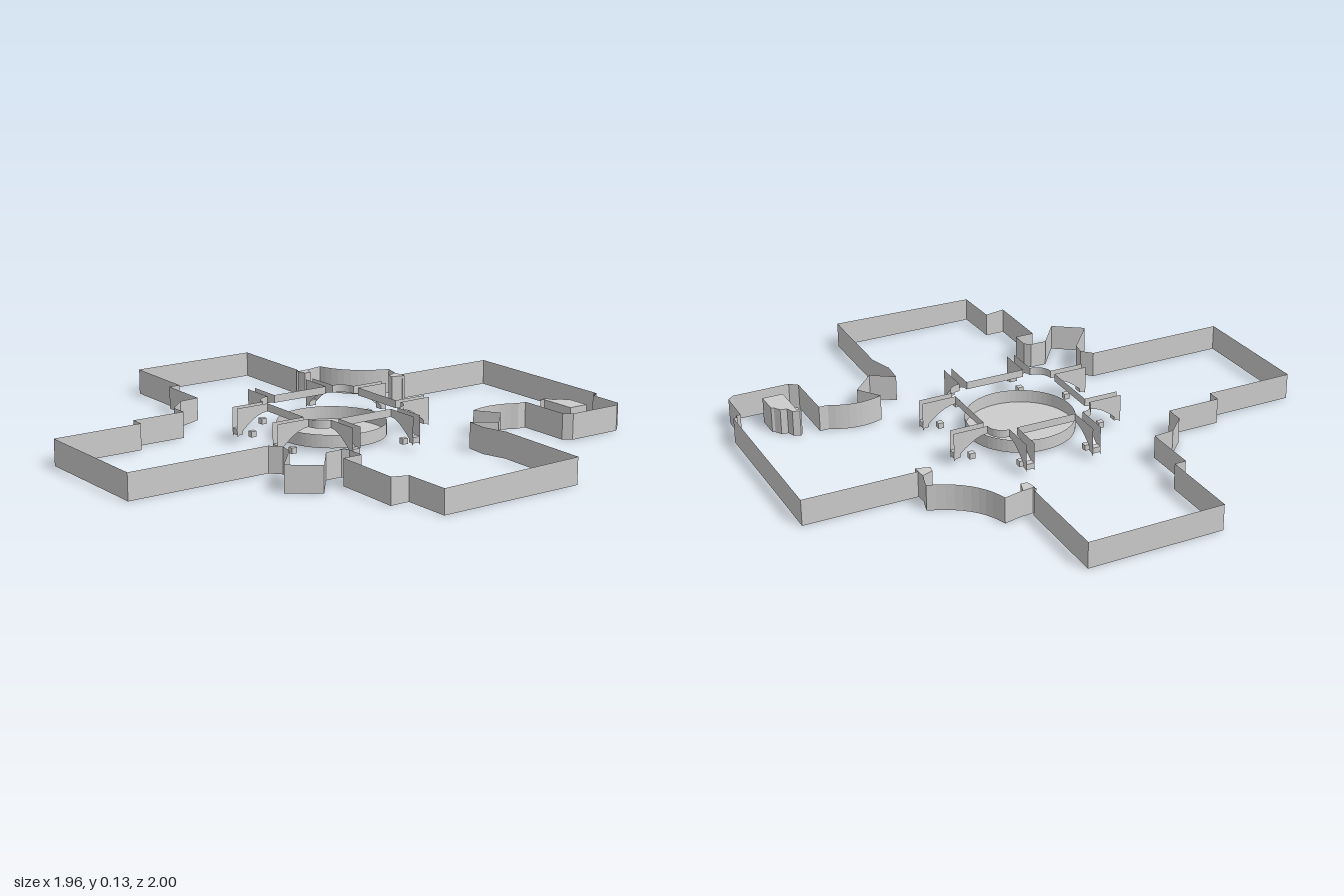
import * as THREE from 'three';

const material = new THREE.MeshStandardMaterial({ color: 0xcccccc, flatShading: true, side: THREE.DoubleSide });

function add(parent, name, geometry) {
  const mesh = new THREE.Mesh(geometry, material);
  mesh.name = name;
  parent.add(mesh);
  return mesh;
}

// Upright thin strip through points [x, z, bottom, top]
function ribbon(points, bottom, top) {
  const position = [];
  for (let i = 0; i < points.length - 1; i++) {
    const [ax, az, ab = bottom, at = top] = points[i];
    const [bx, bz, bb = bottom, bt = top] = points[i + 1];
    position.push(ax, ab, az, bx, bb, bz, bx, bt, bz, ax, ab, az, bx, bt, bz, ax, at, az);
  }
  const geometry = new THREE.BufferGeometry();
  geometry.setAttribute('position', new THREE.Float32BufferAttribute(position, 3));
  geometry.computeVertexNormals();
  return geometry;
}

// Solid upright block over a plan of [x, z] points
function prism(plan, bottom, top) {
  const shape = new THREE.Shape(plan.map(([x, z]) => new THREE.Vector2(x, -z)));
  const geometry = new THREE.ExtrudeGeometry(shape, { depth: top - bottom, bevelEnabled: false });
  return geometry.rotateX(-Math.PI / 2).translate(0, bottom, 0);
}

// Points along a curve between two plan points, bowed by a control point
function bow(a, control, b, steps) {
  const curve = new THREE.QuadraticBezierCurve(new THREE.Vector2(...a), new THREE.Vector2(...control), new THREE.Vector2(...b));
  return curve.getPoints(steps).map((p) => [p.x, p.y]);
}

// Cross-shaped outer wall, in four stretches that join end to end
function buildWall(model) {
  const wall = new THREE.Group();
  wall.name = 'perimeterWall';
  model.add(wall);
  const back = [[-0.275, -0.56], [-0.3, -0.57], [-0.3, -1], [0.375, -1], [0.375, -0.985], [0.39, -0.985],
    [0.39, -0.967], [0.53, -0.965], [0.55, -0.94], [0.55, -0.72], [0.525, -0.69], [0.317, -0.69],
    ...bow([0.317, -0.655], [0.26, -0.56], [0.3, -0.45], 8),
    [0.385, -0.51], [0.48, -0.42], [0.42, -0.335], [0.505, -0.328], [0.597, -0.355], [0.98, -0.348]];
  const left = [[0.98, -0.348], [0.98, 0.23, 0, 0.092], [0.8, 0.235, 0, 0.092], [0.8, 0.31], [0.535, 0.31],
    [0.535, 0.235], [0.465, 0.235], [0.445, 0.255], [0.445, 0.32], [0.563, 0.41], [0.485, 0.52],
    [0.352, 0.408], [0.3, 0.4], [0.262, 0.435], [0.262, 0.99]];
  const front = [[0.262, 0.99], [-0.245, 1], [-0.247, 0.65], [-0.3, 0.65], [-0.3, 0.44], [-0.37, 0.44],
    [-0.44, 0.37], [-0.447, 0.29, 0.012], [-0.657, 0.29, 0.012], [-0.657, 0.245], [-0.975, 0.245]];
  const right = [[-0.975, 0.245], [-0.98, -0.277], [-0.597, -0.275], [-0.59, -0.262], [-0.575, -0.275],
    ...bow([-0.6, -0.385], [-0.455, -0.42], [-0.4, -0.585], 10), [-0.335, -0.567], [-0.275, -0.56]];
  add(wall, 'backWall', ribbon(back, 0, 0.1));
  add(wall, 'leftWall', ribbon(left, 0, 0.1));
  add(wall, 'frontWall', ribbon(front, 0, 0.1));
  add(wall, 'rightWall', ribbon(right, 0, 0.1));

  // Small posts where the curved corner meets the straight walls
  add(wall, 'cornerPost', prism([[-0.335, -0.567], [-0.275, -0.57], [-0.29, -0.518], [-0.318, -0.523]], 0, 0.1));
  add(wall, 'cornerPost', prism([[-0.585, -0.31], [-0.538, -0.295], [-0.54, -0.27], [-0.58, -0.262]], 0, 0.1));
}

// Round shallow tray
function buildTray(hub) {
  add(hub, 'trayRim', new THREE.CylinderGeometry(0.205, 0.205, 0.05, 64, 1, true).translate(0, 0.035, 0));
  add(hub, 'trayFloor', new THREE.CircleGeometry(0.205, 64).rotateX(-Math.PI / 2).translate(0, 0.01, 0));
}

// Profile of a gusset leg: low at the outer end, curving up to a thin rail
function leg(side) {
  const points = [];
  for (let i = 0; i <= 6; i++) {
    const t = i / 6;
    points.push([side, 0.341 - 0.134 * t, 0.02 + 0.08 * Math.sin(t * Math.PI / 2)]);
  }
  return points;
}

// One quarter of the frame: a U strip, a corner strip and the pegs of two brackets
function buildQuarter(hub, index) {
  const quarter = new THREE.Group();
  quarter.name = 'frameQuarter';
  quarter.rotation.y = index * Math.PI / 2;
  hub.add(quarter);

  add(quarter, 'sideStrip', ribbon([...leg(-0.118), ...leg(0.118).reverse()], 0.1, 0.13));

  const arc = [];
  for (let i = 1; i < 8; i++) {
    const a = i / 8 * Math.PI / 2;
    arc.push([0.149 + 0.058 * Math.sin(a), 0.149 + 0.058 * Math.cos(a)]);
  }
  const inward = leg(0.149);
  const outward = inward.map(([x, z, bottom]) => [z, x, bottom]).reverse();
  add(quarter, 'cornerStrip', ribbon([...inward, ...arc, ...outward], 0.1, 0.13));

  for (const x of [-0.1335, 0.1335]) {
    add(quarter, 'endPeg', new THREE.BoxGeometry(0.031, 0.022, 0.024).translate(x, 0.04, 0.328));
    add(quarter, 'innerPeg', new THREE.BoxGeometry(0.022, 0.022, 0.022).translate(x, 0.02, 0.265));
  }
}

export function createModel() {
  const model = new THREE.Group();
  model.name = 'model';
  buildWall(model);

  // Stepped block standing in the back bay
  add(model, 'steppedBlock', prism([[0.48, -0.85], [0.39, -0.85], [0.385, -0.84], [0.36, -0.825], [0.355, -0.8],
    [0.328, -0.79], [0.317, -0.765], [0.328, -0.755], [0.335, -0.77], [0.48, -0.77]], 0, 0.1));

  const hub = new THREE.Group();
  hub.name = 'hub';
  hub.position.set(-0.008, 0, -0.025);
  model.add(hub);
  buildTray(hub);
  for (let i = 0; i < 4; i++) buildQuarter(hub, i);
  return model;
}
